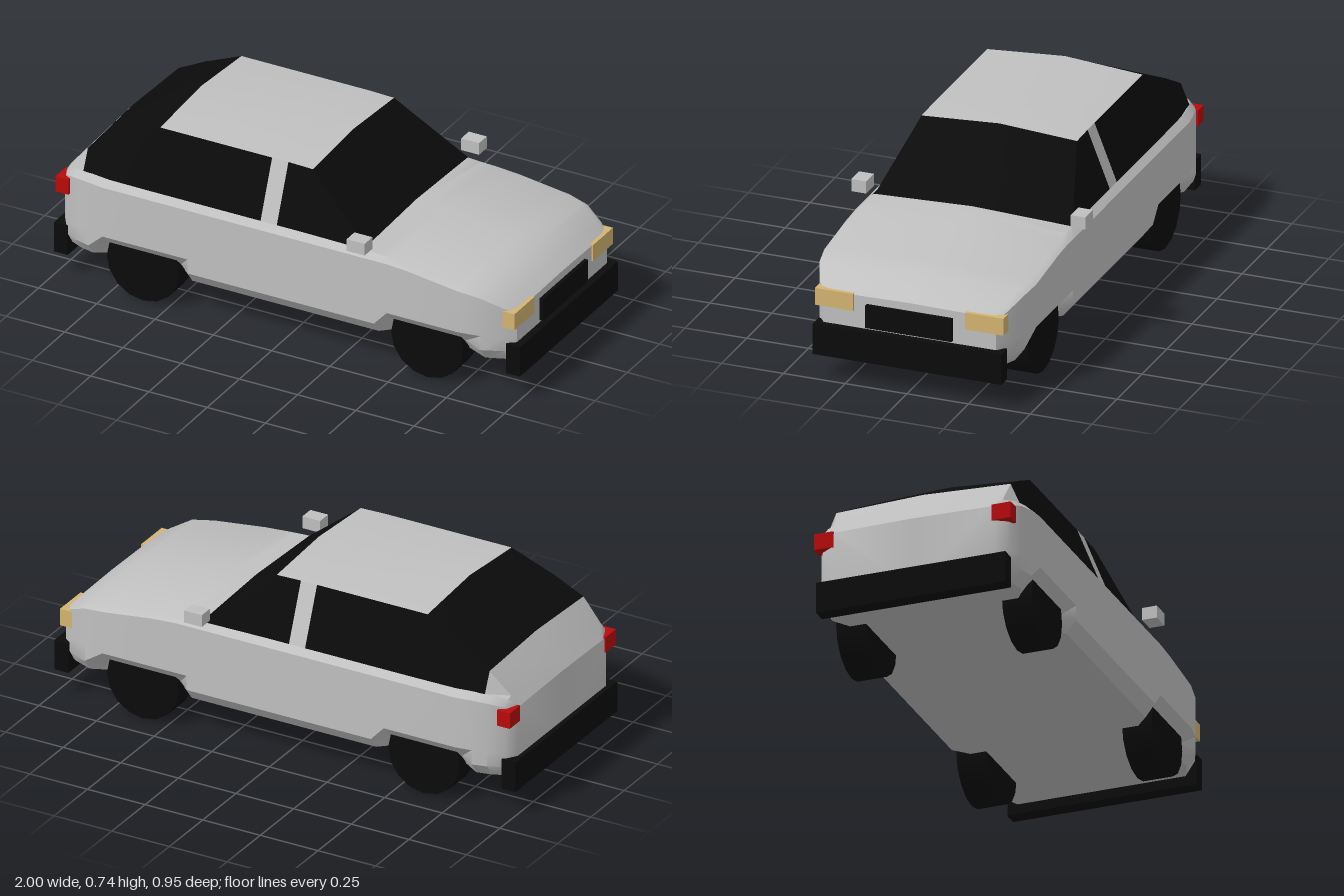
import * as THREE from 'three';
import { toCreasedNormals } from 'three/addons/utils/BufferGeometryUtils.js';

const mat = (name, color) => new THREE.MeshStandardMaterial({ name, color });

// Skin over successive sections running along +x; keep(i, j) selects the cells
function loft(rings, { closed = false, keep = () => true, crease = 0.6 } = {}) {
  const pos = [];
  const tri = (...pts) => pts.forEach((p) => pos.push(...p));
  const n = rings[0].length;
  for (let i = 0; i < rings.length - 1; i++) {
    for (let j = 0; j < (closed ? n : n - 1); j++) {
      if (!keep(i, j)) continue;
      const k = (j + 1) % n;
      const a = rings[i][j], b = rings[i][k], c = rings[i + 1][k], d = rings[i + 1][j];
      tri(a, d, c);
      tri(a, c, b);
    }
  }
  if (closed) {
    const r = rings[0], f = rings[rings.length - 1];
    for (let k = 1; k < n - 1; k++) {
      tri(r[0], r[k], r[k + 1]);
      tri(f[0], f[k + 1], f[k]);
    }
  }
  const g = new THREE.BufferGeometry();
  g.setAttribute('position', new THREE.Float32BufferAttribute(pos, 3));
  return toCreasedNormals(g, crease);
}

export function createModel() {
  const car = new THREE.Group();
  car.name = 'hatchbackCar';
  const paint = mat('silverPaint', 0xc0c0c0);
  const black = mat('blackTrim', 0x0b0b0b);
  const amber = mat('amberLamp', 0xd4b472);
  const red = mat('redLamp', 0xb80a0a);

  const add = (name, geometry, material) => {
    const m = new THREE.Mesh(geometry, material);
    m.name = name;
    car.add(m);
    return m;
  };
  const box = (name, material, x0, x1, y0, y1, z0, z1) =>
    add(name, new THREE.BoxGeometry(x1 - x0, y1 - y0, z1 - z0), material)
      .position.set((x0 + x1) / 2, (y0 + y1) / 2, (z0 + z1) / 2);

  // Lower body: x, half width, sill half width, belt y, shoulder y, crown y
  const bodyStations = [
    [-0.98, 0.33, 0.33, 0.415, 0.43, 0.435],
    [-0.95, 0.375, 0.375, 0.44, 0.465, 0.465],
    [-0.89, 0.405, 0.405, 0.455, 0.48, 0.48],
    [-0.83, 0.42, 0.42, 0.46, 0.485, 0.485],
    [-0.765, 0.43, 0.375, 0.46, 0.485, 0.485],
    [-0.455, 0.43, 0.375, 0.46, 0.485, 0.485],
    [-0.40, 0.43, 0.43, 0.46, 0.485, 0.485],
    [0.10, 0.43, 0.43, 0.46, 0.485, 0.485],
    [0.345, 0.43, 0.43, 0.46, 0.482, 0.498],
    [0.40, 0.43, 0.43, 0.46, 0.479, 0.492],
    [0.455, 0.43, 0.375, 0.46, 0.475, 0.486],
    [0.55, 0.43, 0.375, 0.453, 0.466, 0.475],
    [0.765, 0.43, 0.375, 0.425, 0.438, 0.447],
    [0.85, 0.415, 0.415, 0.411, 0.426, 0.436],
    [0.93, 0.38, 0.38, 0.372, 0.382, 0.39],
    [0.97, 0.35, 0.35, 0.345, 0.355, 0.36],
  ];
  const bodyRings = bodyStations.map(([x, w, sill, belt, shoulder, crown]) => {
    const half = [[sill * 0.91, 0.14], [sill, 0.19], [w, 0.25], [w, belt], [w * 0.94, shoulder]];
    return [
      [x, 0.14, 0],
      ...half.map(([z, y]) => [x, y, z]),
      [x, crown, 0],
      ...half.reverse().map(([z, y]) => [x, y, -z]),
    ];
  });
  add('body', loft(bodyRings, { closed: true }), paint);

  // Cabin: x, base half width, base y, roof half width, roof edge y, roof centre y
  const cabinStations = [
    [-0.98, 0.31, 0.43, 0.28, 0.432, 0.438],
    [-0.95, 0.352, 0.465, 0.33, 0.472, 0.48],
    [-0.87, 0.387, 0.483, 0.352, 0.565, 0.58],
    [-0.75, 0.403, 0.485, 0.338, 0.632, 0.65],
    [-0.58, 0.405, 0.485, 0.315, 0.713, 0.737],
    [-0.10, 0.405, 0.485, 0.315, 0.713, 0.735],
    [-0.03, 0.405, 0.485, 0.315, 0.713, 0.734],
    [0.075, 0.405, 0.485, 0.315, 0.71, 0.73],
    [0.345, 0.405, 0.482, 0.395, 0.486, 0.501],
  ];
  const cabinRings = cabinStations.map(([x, b, by, r, ry, cy]) =>
    [[x, by, b], [x, ry, r], [x, cy, 0], [x, ry, -r], [x, by, -b]]);
  const isRoof = (j) => j === 1 || j === 2;
  const isPaint = (i, j) => i < 2 || (i === 5 && !isRoof(j)) || (i >= 4 && i <= 6 && isRoof(j));
  add('roofPillarsAndTail', loft(cabinRings, { keep: isPaint, crease: 0.4 }), paint);
  add('windows', loft(cabinRings, { keep: (i, j) => !isPaint(i, j), crease: 0.4 }), black);

  // Bumpers and grille
  box('frontBumper', black, 0.94, 1.0, 0.1, 0.225, -0.382, 0.382);
  box('rearBumper', black, -1.0, -0.94, 0.1, 0.225, -0.382, 0.382);
  box('grille', black, 0.95, 0.985, 0.235, 0.328, -0.175, 0.175);

  // Paired parts
  for (const s of [1, -1]) {
    const side = s > 0 ? 'right' : 'left';
    const pair = (name, material, x0, x1, y0, y1, z0, z1) =>
      box(side + name, material, x0, x1, y0, y1, s > 0 ? z0 : -z1, s > 0 ? z1 : -z0);
    pair('Headlight', amber, 0.915, 0.977, 0.293, 0.362, 0.227, 0.382);
    pair('TailLight', red, -0.984, -0.928, 0.37, 0.435, 0.32, 0.398);
    pair('Mirror', paint, 0.308, 0.385, 0.5, 0.55, 0.414, 0.474);
    for (const x of [-0.61, 0.61]) {
      const tyre = new THREE.CylinderGeometry(0.155, 0.155, 0.12, 16).rotateX(Math.PI / 2);
      add(side + (x > 0 ? 'FrontWheel' : 'RearWheel'), tyre, black).position.set(x, 0.155, s * 0.335);
    }
  }
  return car;
}
